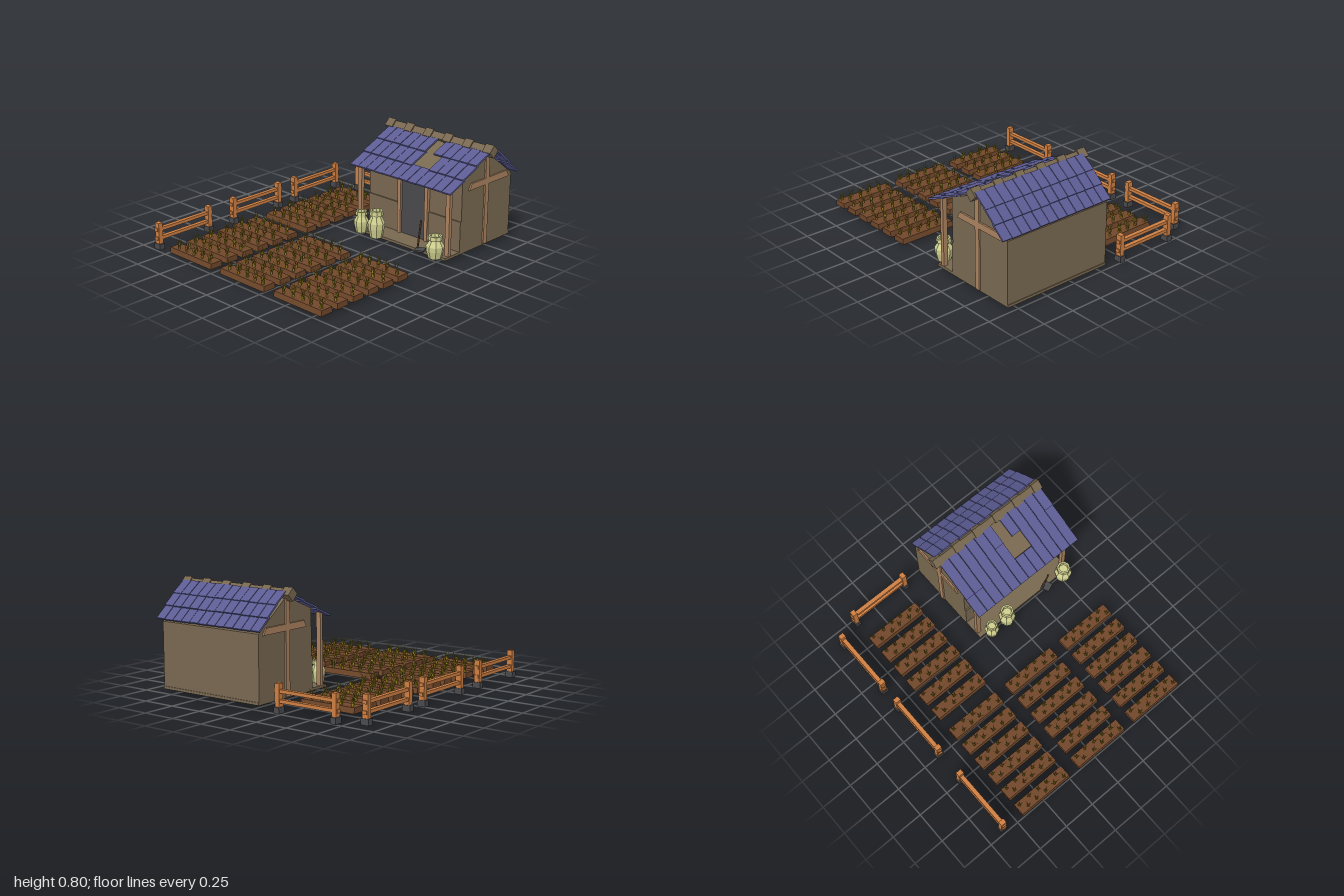
import * as THREE from 'three';
import { mergeGeometries } from 'three/addons/utils/BufferGeometryUtils.js';

const mat = (name, color) => {
  const m = new THREE.MeshStandardMaterial({ color });
  m.name = name;
  return m;
};

export function createModel() {
  const root = new THREE.Group();
  root.name = 'farmstead';
  const M = {
    wall: mat('plaster brown', 0x786850),
    timber: mat('light timber', 0xab825f),
    tile: mat('blue roof tile', 0x5c5c94),
    door: mat('dark grey', 0x4a4a4d),
    fence: mat('orange wood', 0xcf7f42),
    soil: mat('soil brown', 0x70472a),
    sprout: mat('sprout gold', 0x94801a),
    jar: mat('pale green clay', 0xd0d090),
    handle: mat('dark wood', 0x6a4a2c),
  };
  let seed = 7;
  const rand = () => (seed = (seed * 16807) % 2147483647) / 2147483647;

  const group = (name, parent = root) => {
    const g = new THREE.Group();
    g.name = name;
    parent.add(g);
    return g;
  };
  const add = (parent, name, geo, material) => {
    const m = new THREE.Mesh(geo, material);
    m.name = name;
    parent.add(m);
    return m;
  };
  // Box given by its min and max on each axis
  const box = (parent, name, material, x0, x1, y0, y1, z0, z1) => {
    const m = add(parent, name, new THREE.BoxGeometry(x1 - x0, y1 - y0, z1 - z0), material);
    m.position.set((x0 + x1) / 2, (y0 + y1) / 2, (z0 + z1) / 2);
    return m;
  };
  const flat = (geo) => {
    const g = geo.index ? geo.toNonIndexed() : geo;
    g.computeVertexNormals();
    return g;
  };
  // Outline of [z, y] points extruded from x0 to x1
  const sideExtrude = (points, x0, x1) => {
    const shape = new THREE.Shape(points.map(([z, y]) => new THREE.Vector2(z, y)));
    const g = new THREE.ExtrudeGeometry(shape, { depth: x1 - x0, bevelEnabled: false });
    return g.rotateY(-Math.PI / 2).translate(x1, 0, 0);
  };

  // Hut body
  const hut = group('hut');
  add(hut, 'walls', sideExtrude(
    [[-0.42, 0.04], [-0.42, 0.62], [-0.69, 0.735], [-0.985, 0.515], [-0.985, 0.04]], -0.05, 0.83), M.wall);
  box(hut, 'floor', M.wall, -0.05, 0.83, 0.03, 0.05, -0.99, -0.25);
  box(hut, 'lowerWallLeft', M.wall, 0.535, 0.83, 0.05, 0.28, -0.42, -0.41);
  box(hut, 'lowerWallRight', M.wall, -0.05, 0.25, 0.05, 0.28, -0.42, -0.41);
  box(hut, 'door', M.door, 0.27, 0.51, 0.05, 0.55, -0.42, -0.412);
  for (const x of [0.262, 0.52]) box(hut, 'doorFrame', M.timber, x - 0.015, x + 0.015, 0.05, 0.6, -0.42, -0.395);
  box(hut, 'lintel', M.timber, 0.25, 0.535, 0.55, 0.58, -0.42, -0.4);
  for (const x of [-0.03, 0.81]) box(hut, 'porchPost', M.timber, x - 0.018, x + 0.018, 0.05, 0.575, -0.315, -0.287);

  // Timber cross on both gables
  for (const [a, b] of [[0.83, 0.842], [-0.062, -0.05]]) {
    box(hut, 'gablePost', M.timber, a, b, 0.04, 0.72, -0.71, -0.67);
    add(hut, 'gableBeam', sideExtrude([[-0.485, 0.5], [-0.515, 0.548], [-0.915, 0.548], [-0.945, 0.5]], a, b), M.timber);
  }

  // Roof tiles: each row runs from its eave end [z, y] to its upper end [z, y]
  const roof = group('roof', hut);
  const rows = [
    [-0.225, 0.548, -0.385, 0.613], [-0.365, 0.615, -0.53, 0.682], [-0.51, 0.684, -0.68, 0.753],
    [-0.995, 0.53, -0.89, 0.616], [-0.91, 0.612, -0.805, 0.698], [-0.825, 0.69, -0.715, 0.77],
  ];
  const cols = 12, pitch = 0.95 / cols;
  const missing = new Set(['2,6', '1,6', '1,7']);
  rows.forEach(([z0, y0, z1, y1], r) => {
    const dz = z0 - z1, dy = y0 - y1;
    for (let c = 0; c < cols; c++) {
      if (missing.has(`${r},${c}`)) continue;
      const t = add(roof, 'roofTile', new THREE.BoxGeometry(pitch - 0.004, 0.013, Math.hypot(dz, dy)), M.tile);
      t.position.set(-0.07 + (c + 0.5) * pitch, (y0 + y1) / 2 + rand() * 0.003, (z0 + z1) / 2);
      t.rotation.x = Math.atan2(-dy, dz) + (rand() - 0.5) * 0.02;
    }
  });
  // Bare boards under the broken patch
  add(roof, 'roofBoard', sideExtrude(
    [[-0.39, 0.598], [-0.39, 0.61], [-0.66, 0.727], [-0.66, 0.71]], 0.39, 0.575), M.wall);

  // Ridge beam set on edge, with wider caps
  const ridge = (name, x0, x1, r) => {
    const m = add(roof, name, sideExtrude([[r, 0], [0, r], [-r, 0], [0, -r]], x0, x1), M.wall);
    m.position.set(0, 0.752, -0.69);
  };
  ridge('ridgeBeam', -0.1, 0.88, 0.037);
  for (let i = 0; i < 6; i++) ridge('ridgeCap', -0.107 + i * 0.185, -0.035 + i * 0.185, 0.049);

  // Clay jars
  const jars = group('jars');
  const jarProfile = [[0, 0], [0.042, 0], [0.056, 0.35], [0.058, 0.55], [0.04, 0.74],
    [0.036, 0.8], [0.046, 0.82], [0.044, 1], [0.032, 1], [0.03, 0.85], [0, 0.85]];
  for (const [x, h, s] of [[0.045, 0.165, 0.95], [0.195, 0.21, 1.1], [0.757, 0.17, 1.15]]) {
    const pts = jarProfile.map(([r, y]) => new THREE.Vector2(r * s, y * h));
    add(jars, 'jar', flat(new THREE.LatheGeometry(pts, 8)), M.jar).position.set(x, 0.045, -0.225);
  }

  // Spade leaning by the porch
  const spade = group('spade');
  const from = new THREE.Vector3(0.575, 0.06, -0.25), to = new THREE.Vector3(0.615, 0.29, -0.235);
  add(spade, 'spadeHandle', new THREE.TubeGeometry(new THREE.LineCurve3(from, to), 1, 0.007, 6), M.handle);
  const blade = box(spade, 'spadeBlade', M.door, 0.57, 0.64, 0.05, 0.062, -0.275, -0.205);
  blade.rotation.y = 0.4;

  // Fences: two posts on stone feet joined by two rails
  const fence = (x, z, turn) => {
    const f = group('fence');
    for (const s of [-0.235, 0.235]) {
      box(f, 'fenceFoot', M.door, s - 0.023, s + 0.023, 0, 0.045, -0.031, 0.031);
      box(f, 'fencePost', M.fence, s - 0.018, s + 0.018, 0.04, 0.205, -0.022, 0.022);
    }
    for (const y of [0.085, 0.153]) box(f, 'fenceRail', M.fence, -0.262, 0.262, y - 0.012, y + 0.012, -0.016, 0.016);
    f.position.set(x, 0, z);
    f.rotation.y = turn;
  };
  for (const z of [-0.645, 0.005, 0.725]) fence(-0.86, z, Math.PI / 2);
  fence(-0.445, -0.97, 0);

  // One sprout: bent three-sided blades fanned around a point
  const sprout = () => {
    const blades = [];
    const spin = rand() * 6.28;
    for (let i = 0; i < 4; i++) {
      const h = 0.05 + rand() * 0.03;
      const g = new THREE.ConeGeometry(0.0055, h, 3, 3, true).translate(0, h / 2, 0);
      const p = g.attributes.position;
      for (let k = 0; k < p.count; k++) {
        const y = p.getY(k);
        p.setX(k, p.getX(k) + 0.004 + y * y * 5.5);
      }
      blades.push(flat(g.rotateY(spin + i * 1.57)));
    }
    return mergeGeometries(blades);
  };

  // Planting beds with two staggered lines of sprouts
  const bedBase = new THREE.BoxGeometry(0.445, 0.042, 0.107);
  const bp = bedBase.attributes.position;
  for (let k = 0; k < bp.count; k++) if (bp.getY(k) > 0) bp.setZ(k, bp.getZ(k) * 0.88);
  const bedGeo = flat(bedBase);
  const bed = (x, z) => {
    const b = group('plantingBed');
    add(b, 'soil', bedGeo, M.soil).position.y = 0.049;
    const list = [];
    for (let i = 0; i < 10; i++) {
      const px = -0.19 + i * 0.042 + (rand() - 0.5) * 0.015;
      const pz = (i % 2 ? 0.024 : -0.024) + (rand() - 0.5) * 0.012;
      list.push(sprout().translate(px, 0.068, pz));
    }
    add(b, 'sprouts', mergeGeometries(list), M.sprout);
    b.position.set(x, 0, z);
  };
  for (let i = 0; i < 6; i++) {
    for (const x of [-0.472, 0.068, 0.608]) bed(x, 0.203 + i * 0.148);
    bed(-0.472, -0.738 + i * 0.148);
  }
  return root;
}
